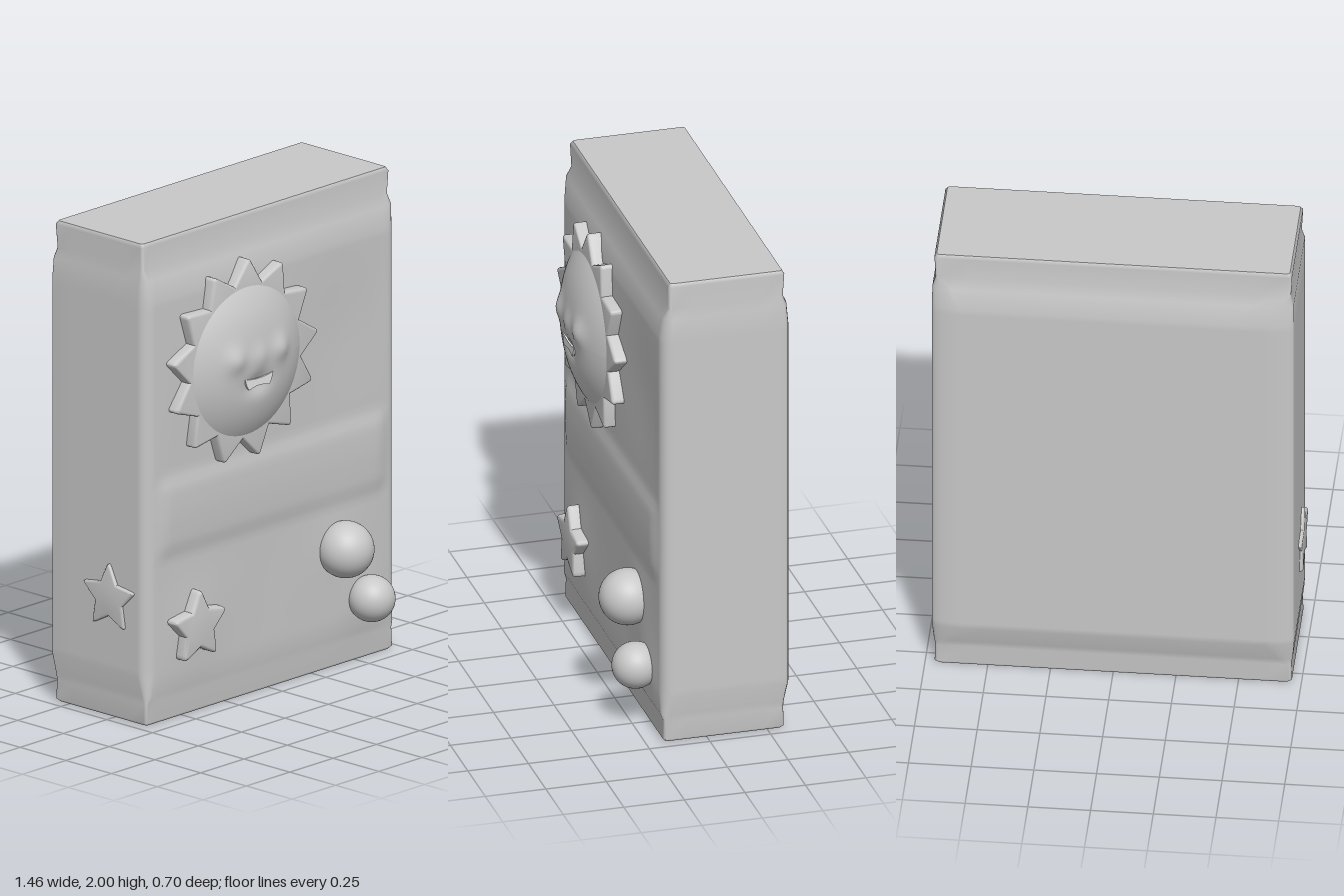
import * as THREE from 'three';
import { toCreasedNormals } from 'three/addons/utils/BufferGeometryUtils.js';

const clay = new THREE.MeshStandardMaterial({ color: 0xc8c8c8 });
clay.name = 'grey clay';
const pale = new THREE.MeshStandardMaterial({ color: 0xf4f4f4 });
pale.name = 'pale mouth';

const bump = (d, w) => Math.exp(-(d * d) / (w * w));
const { lerp, smoothstep } = THREE.MathUtils;

function part(name, geometry, material = clay) {
  const mesh = new THREE.Mesh(geometry, material);
  mesh.name = name;
  return mesh;
}

// Side profile: y, half width, front z, back z, swell (0 = square rim, 1 = rounded belly)
const PROFILE = [
  [0, 0.7, 0.17, -0.31, 0], [0.012, 0.712, 0.18, -0.318, 0], [0.09, 0.71, 0.178, -0.316, 0],
  [0.12, 0.715, 0.188, -0.325, 0.4], [0.2, 0.722, 0.19, -0.35, 1], [1.76, 0.722, 0.19, -0.35, 1],
  [1.85, 0.72, 0.18, -0.337, 0.6], [1.89, 0.708, 0.156, -0.315, 0], [1.985, 0.713, 0.16, -0.32, 0],
  [2, 0.704, 0.15, -0.312, 0],
];

function profileAt(y) {
  let i = 0;
  while (i < PROFILE.length - 2 && y > PROFILE[i + 1][0]) i++;
  const a = PROFILE[i], b = PROFILE[i + 1];
  const t = (y - a[0]) / (b[0] - a[0]);
  return a.map((v, k) => lerp(v, b[k], t));
}

// Gentle relief of the front face: middle band and mounds round the ornaments
function relief(x, y) {
  const band = smoothstep(y, 0.66, 0.74) * (1 - smoothstep(y, 0.96, 1.03));
  const arch = band * (0.008 + 0.008 * bump(y - 0.86, 0.15));
  const mound = (cx, cy, w) => bump(Math.hypot(x - cx, y - cy), w);
  return arch + 0.01 * (mound(-0.2, 1.42, 0.42) + mound(-0.44, 0.38, 0.16)
    + mound(0.4, 0.5, 0.17) + mound(0.52, 0.27, 0.14)) - 0.008 * mound(0.42, 1.4, 0.25);
}

// One horizontal cross-section, running +x along the front
function ring(y) {
  const [, w, zf, zb, s] = profileAt(y);
  const pts = [];
  const line = (x0, z0, x1, z1, n) => {
    for (let i = 0; i < n; i++) pts.push([lerp(x0, x1, i / n), lerp(z0, z1, i / n)]);
  };
  const corner = (cx, cz, rx, rz, start) => {
    for (let i = 0; i < 6; i++) {
      const a = start + (i / 6) * Math.PI / 2;
      pts.push([cx + Math.sin(a) * rx, cz + Math.cos(a) * rz]);
    }
  };
  const f = lerp(0.012, 0.05, s), bx = lerp(0.012, 0.12, s), bz = lerp(0.012, 0.03, s);
  line(-w + f, zf, w - f, zf, 48);
  corner(w - f, zf - f, f, f, 0);
  line(w, zf - f, w, zb + bz, 6);
  corner(w - bx, zb + bz, bx, bz, Math.PI / 2);
  line(w - bx, zb, -w + bx, zb, 12);
  corner(-w + bx, zb + bz, bx, bz, Math.PI);
  line(-w, zb + bz, -w, zf - f, 6);
  corner(-w + f, zf - f, f, f, Math.PI * 1.5);
  return pts.map(([x, z]) => {
    const front = z > zf - 0.001 ? s * smoothstep(w - Math.abs(x), 0.04, 0.12) : 0;
    return [x, y, z + front * relief(x, y)];
  });
}

function loft(rings) {
  const n = rings[0].length, index = [];
  for (let i = 0; i < rings.length - 1; i++) for (let j = 0; j < n; j++) {
    const a = i * n + j, b = i * n + (j + 1) % n;
    index.push(a, b, b + n, a, b + n, a + n);
  }
  const g = new THREE.BufferGeometry();
  g.setAttribute('position', new THREE.Float32BufferAttribute(rings.flat(2), 3));
  g.setIndex(index);
  g.computeVertexNormals();
  return g;
}

function cap(points, y, up) {
  const n = points.length, index = [];
  for (let j = 0; j < n; j++) {
    const a = j + 1, b = (j + 1) % n + 1;
    index.push(0, up ? a : b, up ? b : a);
  }
  const g = new THREE.BufferGeometry();
  g.setAttribute('position', new THREE.Float32BufferAttribute([0, y, -0.08, ...points.flat()], 3));
  g.setIndex(index);
  g.computeVertexNormals();
  return g;
}

// Star outline with softened tips, first tip at angle "turn"
function starShape(count, outer, inner, round, turn) {
  const at = (r, k) => {
    const a = turn + k * Math.PI / count;
    return new THREE.Vector2(Math.cos(a) * r, Math.sin(a) * r);
  };
  const shape = new THREE.Shape();
  for (let k = 0; k < count * 2; k += 2) {
    const valley = at(inner, k - 1), tip = at(outer, k), next = at(inner, k + 1);
    const p = tip.clone().lerp(valley, round), q = tip.clone().lerp(next, round);
    if (k === 0) shape.moveTo(valley.x, valley.y);
    else shape.lineTo(valley.x, valley.y);
    shape.lineTo(p.x, p.y);
    shape.quadraticCurveTo(tip.x, tip.y, q.x, q.y);
  }
  shape.closePath();
  return shape;
}

function raised(shape, depth, bevel) {
  return toCreasedNormals(new THREE.ExtrudeGeometry(shape, {
    depth, bevelEnabled: bevel > 0, bevelThickness: bevel, bevelSize: bevel,
    bevelOffset: -bevel, bevelSegments: 3, curveSegments: 5,
  }), 0.7);
}

// Domed face with cheeks, brow and a mouth hollow
function faceDome(radius, height) {
  const g = new THREE.RingGeometry(0.0001, radius, 64, 28);
  const p = g.attributes.position;
  for (let i = 0; i < p.count; i++) {
    const x = p.getX(i), y = p.getY(i), t = Math.min(1, Math.hypot(x, y) / radius);
    let z = height * (1 - Math.pow(t, 2.6));
    for (const side of [-1, 1]) z += 0.02 * bump(Math.hypot(x - side * 0.13, y - 0.04), 0.05);
    z += 0.012 * bump(Math.hypot(x, y - 0.03), 0.05);
    z -= 0.02 * bump(Math.hypot(x / 1.7, y + 0.08), 0.04);
    p.setZ(i, z);
  }
  g.computeVertexNormals();
  return g;
}

export function createModel() {
  const model = new THREE.Group();
  model.name = 'decorated packet';

  // Packet body with pinched rims
  const ys = PROFILE.map((k) => k[0]);
  for (let i = 1; i < 60; i++) ys.push(0.2 + (1.56 * i) / 60);
  ys.sort((a, b) => a - b);
  const rings = ys.map(ring);
  model.add(part('packetBody', loft(rings)));
  model.add(part('packetTop', cap(rings[rings.length - 1], 2, true)));
  model.add(part('packetBottom', cap(rings[0], 0, false)));

  // Smiling sun
  const sun = new THREE.Group();
  sun.name = 'sun';
  sun.position.set(-0.2, 1.42, 0);
  const rays = part('sunRays', raised(starShape(13, 0.425, 0.325, 0.16, 1.52), 0.07, 0.012));
  rays.position.z = 0.16;
  const face = part('sunFace', faceDome(0.31, 0.075));
  face.position.z = 0.24;
  const smile = new THREE.Shape();
  smile.moveTo(-0.08, -0.047);
  smile.quadraticCurveTo(-0.07, -0.09, -0.055, -0.095);
  smile.quadraticCurveTo(0, -0.075, 0.055, -0.095);
  smile.quadraticCurveTo(0.07, -0.09, 0.08, -0.047);
  smile.quadraticCurveTo(0, -0.065, -0.08, -0.047);
  const mouth = part('sunMouth', raised(smile, 0.008, 0), pale);
  mouth.position.z = 0.305;
  sun.add(rays, face, mouth);
  model.add(sun);

  // Front star and the low star on the side
  const frontStar = part('frontStar', raised(starShape(5, 0.165, 0.085, 0.3, Math.PI / 2), 0.07, 0.015));
  frontStar.position.set(-0.46, 0.37, 0.16);
  const sideStar = part('sideStar', raised(starShape(5, 0.15, 0.075, 0.2, Math.PI / 2), 0.02, 0.01));
  sideStar.rotation.y = -Math.PI / 2;
  sideStar.position.set(-0.706, 0.5, -0.01);
  model.add(frontStar, sideStar);

  // Round berries
  for (const [name, r, x, y, z] of [
    ['largeBall', 0.115, 0.38, 0.5, 0.235], ['smallBall', 0.095, 0.522, 0.265, 0.243],
  ]) {
    const ball = part(name, new THREE.SphereGeometry(r, 40, 28));
    ball.position.set(x, y, z);
    model.add(ball);
  }
  return model;
}
